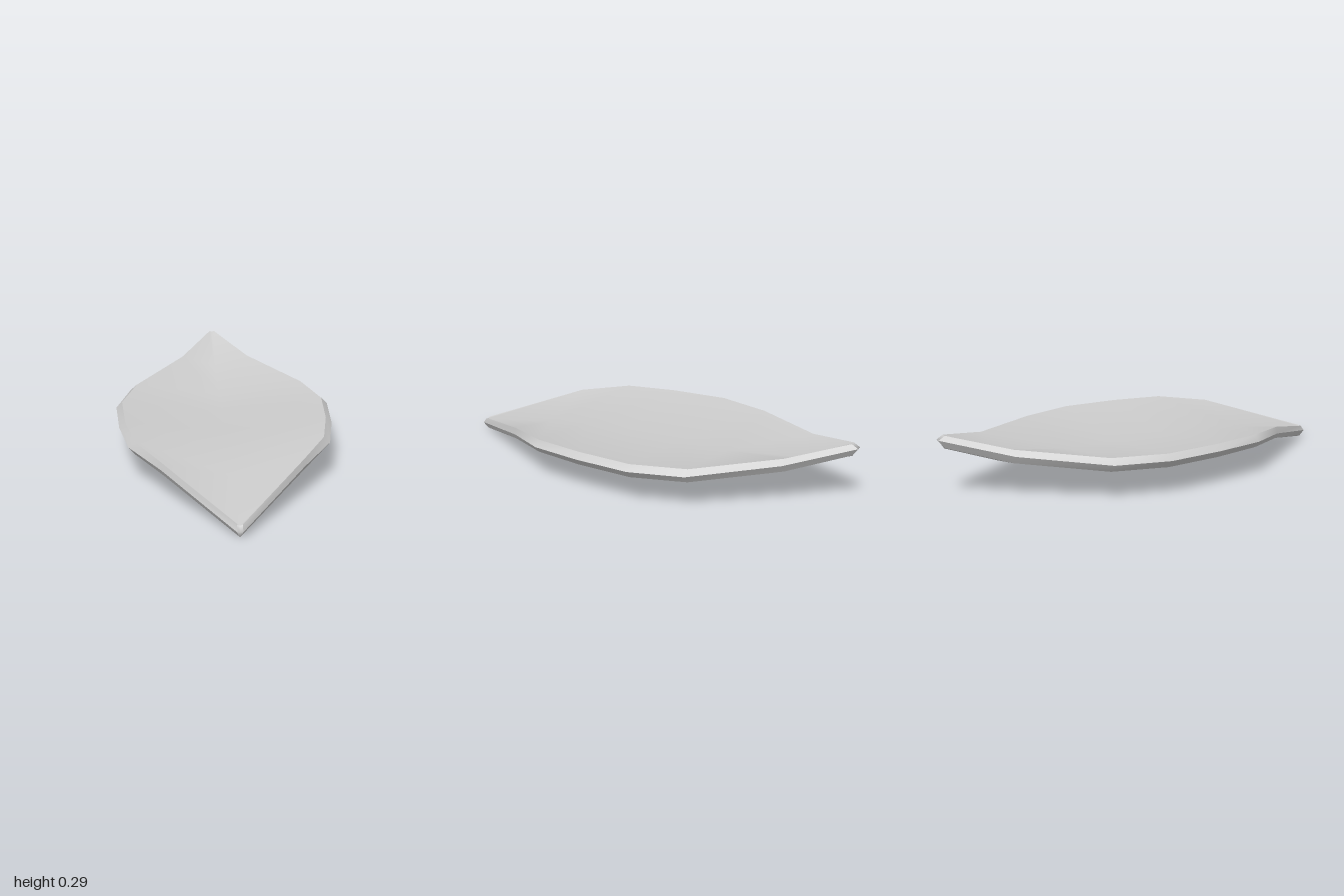
import * as THREE from 'three';

// Stations from rear tip to front tip:
// z, rim half width, rim y, top inset, bottom inset, top edge y, bottom edge y, valley y, keel y, tip setback in z
const STATIONS = [
  [-1.00, 0.012, 0.270, 0.000, 0.004, 0.288, 0.232, 0.286, 0.228, 0.03],
  [-0.72, 0.190, 0.200, 0.022, 0.025, 0.227, 0.165, 0.175, 0.135, 0],
  [-0.37, 0.440, 0.170, 0.030, 0.030, 0.197, 0.135, 0.137, 0.100, 0],
  [-0.12, 0.508, 0.170, 0.028, 0.028, 0.197, 0.135, 0.137, 0.100, 0],
  [0.15, 0.492, 0.170, 0.028, 0.028, 0.197, 0.135, 0.137, 0.100, 0],
  [0.39, 0.450, 0.167, 0.028, 0.028, 0.195, 0.135, 0.137, 0.100, 0],
  [0.60, 0.310, 0.142, 0.006, 0.012, 0.174, 0.117, 0.104, 0.068, 0],
  [1.00, 0.012, 0.030, 0.000, 0.006, 0.056, 0.005, 0.050, 0.000, 0.02],
];

// Closed cross-section: top sheet, right rim, underside, left rim
function section([z, w, rimY, insetT, insetB, topY, botY, valleyY, keelY, back]) {
  const zi = z - Math.sign(z) * back;
  const t = w - insetT, b = w - insetB;
  return [
    [-t, topY, zi], [0, valleyY, zi], [t, topY, zi], [w, rimY, z],
    [b, botY, zi], [0, keelY, zi], [-b, botY, zi], [-w, rimY, z],
  ];
}

// Smooth strip through the chosen columns of every section
function strip(name, rings, columns, material) {
  const n = columns.length, index = [];
  const points = rings.flatMap((ring) => columns.flatMap((c) => ring[c]));
  for (let i = 0; i < rings.length - 1; i++) {
    for (let j = 0; j < n - 1; j++) {
      const a = i * n + j, d = a + n;
      // Mirror the diagonals about the midrib
      if (j === 0) index.push(a, d, d + 1, a, d + 1, a + 1);
      else index.push(a, d, a + 1, a + 1, d, d + 1);
    }
  }
  return finish(name, points, index, material);
}

// Small facet fan closing a tip
function cap(name, ring, front, material) {
  const index = [];
  for (let i = 0; i < ring.length; i++) {
    const k = (i + 1) % ring.length;
    index.push(ring.length, front ? k : i, front ? i : k);
  }
  const centre = [0, ring[3][1], ring[3][2]];
  return finish(name, [...ring, centre].flat(), index, material);
}

function finish(name, points, index, material) {
  const geometry = new THREE.BufferGeometry();
  geometry.setAttribute('position', new THREE.Float32BufferAttribute(points, 3));
  geometry.setIndex(index);
  geometry.computeVertexNormals();
  const mesh = new THREE.Mesh(geometry, material);
  mesh.name = name;
  return mesh;
}

export function createModel() {
  const leaf = new THREE.Group();
  leaf.name = 'leaf';
  const material = new THREE.MeshStandardMaterial({ color: 0xcccccc });
  const rings = STATIONS.map(section);

  // Separate strips keep the rim edges sharp
  leaf.add(
    strip('leafTop', rings, [0, 1, 2], material),
    strip('upperRimLeft', rings, [2, 3], material),
    strip('lowerRimLeft', rings, [3, 4], material),
    strip('leafUnderside', rings, [4, 5, 6], material),
    strip('lowerRimRight', rings, [6, 7], material),
    strip('upperRimRight', rings, [7, 0], material),
    cap('rearTip', rings[0], false, material),
    cap('frontTip', rings[rings.length - 1], true, material),
  );
  return leaf;
}
